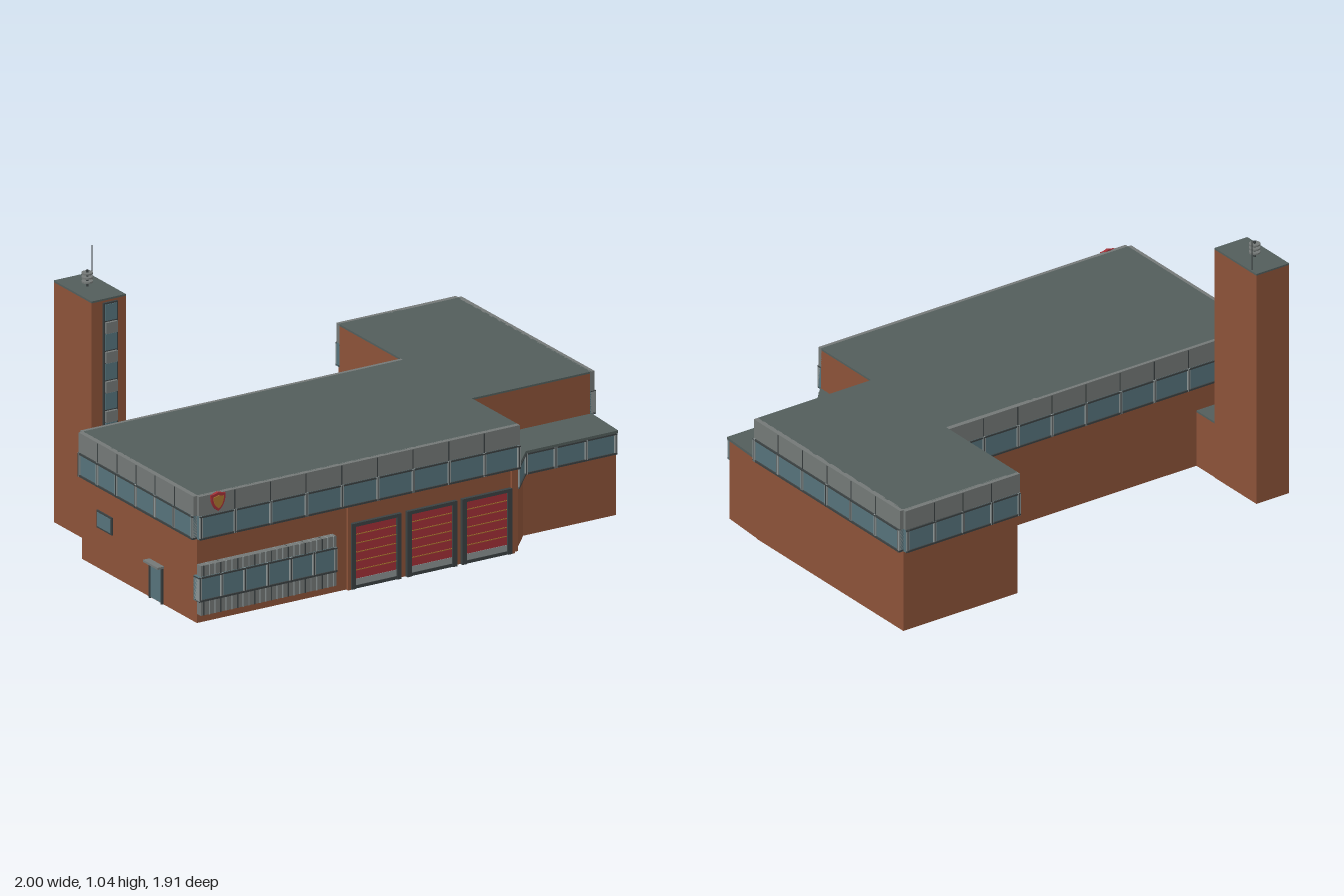
import * as THREE from 'three';

const mat = (color) => new THREE.MeshStandardMaterial({ color });
const BRICK = mat(0x8b5238), ROOF = mat(0x525d5b), PANEL = mat(0x737876), GLASS = mat(0x55727a);
const DARK = mat(0x3b4142), RED = mat(0xa02f36), GOLD = mat(0xa8742f), FRAME = mat(0x8a9292);

// Box given by its extents
function box(parent, name, m, x0, x1, y0, y1, z0, z1) {
  const mesh = new THREE.Mesh(new THREE.BoxGeometry(x1 - x0, y1 - y0, z1 - z0), m);
  mesh.position.set((x0 + x1) / 2, (y0 + y1) / 2, (z0 + z1) / 2);
  mesh.name = name;
  parent.add(mesh);
  return mesh;
}

// Upright prism over a plan of [x, z] corners
function prism(parent, name, m, plan, y0, y1) {
  const shape = new THREE.Shape(plan.map(([x, z]) => new THREE.Vector2(x, -z)));
  const geo = new THREE.ExtrudeGeometry(shape, { depth: y1 - y0, bevelEnabled: false });
  geo.rotateX(-Math.PI / 2).translate(0, y0, 0);
  const mesh = new THREE.Mesh(geo, m);
  mesh.name = name;
  parent.add(mesh);
}

// Group on a wall: x runs along the wall, z points outward
function wall(parent, name, x, z, angle) {
  const g = new THREE.Group();
  g.name = name;
  g.position.set(x, 0, z);
  g.rotation.y = angle;
  parent.add(g);
  return g;
}

// Row of framed panes
function windows(g, x0, x1, y0, y1, panes, out) {
  box(g, 'windowGlass', GLASS, x0, x1, y0, y1, -0.005, out - 0.005);
  box(g, 'windowSill', DARK, x0, x1, y0, y0 + 0.007, -0.005, out);
  box(g, 'windowHead', DARK, x0, x1, y1 - 0.006, y1, -0.005, out);
  const step = (x1 - x0) / panes;
  for (let i = 0; i <= panes; i++) {
    const c = Math.min(Math.max(x0 + i * step, x0 + 0.006), x1 - 0.006);
    box(g, 'mullion', FRAME, c - 0.006, c + 0.006, y0, y1, -0.005, out);
    box(g, 'mullionGap', DARK, c - 0.0015, c + 0.0015, y0, y1, 0, out + 0.001);
  }
}

// High window band with a panelled fascia above
function highBand(g, length, panes) {
  windows(g, 0, length, 0.32, 0.41, panes, 0.02);
  box(g, 'fascia', PANEL, 0, length, 0.41, 0.485, -0.005, 0.014);
  for (let i = 1; i < panes; i++) {
    const x = (i * length) / panes;
    box(g, 'fasciaSeam', DARK, x - 0.002, x + 0.002, 0.41, 0.483, 0, 0.0155);
  }
}

// Roller door with frame, slats and bottom rail
function engineDoor(g, x0, x1) {
  const d = new THREE.Group();
  d.name = 'engineDoor';
  g.add(d);
  box(d, 'doorLeaf', RED, x0, x1, 0.035, 0.238, -0.005, 0.006);
  box(d, 'bottomRail', FRAME, x0, x1, 0.012, 0.036, -0.005, 0.008);
  box(d, 'threshold', DARK, x0, x1, 0, 0.012, -0.005, 0.01);
  box(d, 'doorHead', DARK, x0 - 0.008, x1 + 0.008, 0.237, 0.25, -0.005, 0.014);
  for (const x of [x0, x1]) box(d, 'doorPost', DARK, x - 0.009, x + 0.009, 0, 0.25, -0.005, 0.014);
  for (let i = 1; i < 6; i++) {
    const y = 0.035 + i * 0.034;
    box(d, 'slatLine', GOLD, x0 + 0.01, x1 - 0.01, y - 0.0015, y + 0.0015, 0, 0.008);
  }
}

// Flat shield plaque
function shield(parent, name, m, x, y, s, z, depth) {
  const p = new THREE.Shape();
  p.moveTo(0, -s);
  p.quadraticCurveTo(s * 0.85, -s * 0.5, s * 0.85, s * 0.8);
  p.quadraticCurveTo(s * 0.4, s * 0.8, 0, s);
  p.quadraticCurveTo(-s * 0.4, s * 0.8, -s * 0.85, s * 0.8);
  p.quadraticCurveTo(-s * 0.85, -s * 0.5, 0, -s);
  const mesh = new THREE.Mesh(new THREE.ExtrudeGeometry(p, { depth, bevelEnabled: false }), m);
  mesh.position.set(x, y, z);
  mesh.name = name;
  parent.add(mesh);
}

function rod(parent, name, m, x, z, y0, y1, r) {
  const mesh = new THREE.Mesh(new THREE.CylinderGeometry(r, r, y1 - y0, 12), m);
  mesh.position.set(x, (y0 + y1) / 2, z);
  mesh.name = name;
  parent.add(mesh);
}

export function createModel() {
  const model = new THREE.Group();
  model.name = 'fireStation';
  const st = new THREE.Group();
  st.name = 'station';
  st.rotation.y = THREE.MathUtils.degToRad(24.5);
  model.add(st);

  // Hall and rear wing
  const L = -0.957, F = 0.572, B = -0.194, M = 0.398, R = 0.902, WB = -0.622, WF = 0.266;
  const plan = [[L, F], [M, F], [M, WF], [R, WF], [R, WB], [M, WB], [M, B], [L, B]];
  prism(st, 'brickWalls', BRICK, plan, 0, 0.478);
  prism(st, 'mainRoof', ROOF, plan, 0.478, 0.485);

  // Low annex with a canted corner
  const low = [[M, WF], [M, 0.562], [0.497, 0.452], [0.888, 0.452], [0.9, WF]];
  prism(st, 'annexWalls', BRICK, low, 0, 0.315);
  prism(st, 'annexRoof', ROOF,
    [[M, WF], [M, 0.576], [0.502, 0.462], [0.892, 0.462], [0.904, WF]], 0.315, 0.325);
  windows(wall(st, 'annexFrontWindows', 0.497, 0.452, 0), 0, 0.391, 0.235, 0.316, 3, 0.012);
  windows(wall(st, 'annexCantedWindow', M, 0.562, Math.atan2(0.11, 0.099)), 0, 0.148, 0.235, 0.316, 1, 0.012);

  // High window bands
  const front = wall(st, 'frontWall', L, F, 0);
  highBand(front, M - L, 9);
  const left = wall(st, 'sideWall', L, B, -Math.PI / 2);
  highBand(left, F - B, 6);
  highBand(wall(st, 'hallBackBand', M, B, Math.PI), M - L, 9);
  highBand(wall(st, 'wingSideBand', R, WF, Math.PI / 2), WF - WB, 6);
  highBand(wall(st, 'wingBackBand', R, WB, Math.PI), R - M, 4);

  // Engine doors and piers
  for (const x of [0.655, 0.89, 1.122]) engineDoor(front, x, x + 0.192);
  for (const x of [0.637, 1.33]) box(front, 'pier', BRICK, x - 0.006, x + 0.006, 0, 0.32, -0.005, 0.012);

  // Ground floor bay window with ribbed panels
  const bay = new THREE.Group();
  bay.name = 'bayWindow';
  front.add(bay);
  for (const [y0, y1] of [[0.035, 0.092], [0.18, 0.225]]) {
    box(bay, 'bayPanel', PANEL, 0, 0.572, y0, y1, -0.005, 0.026);
    for (let i = 0; i < 24; i++) {
      const x = 0.012 + i * 0.0238;
      box(bay, 'bayRib', i % 3 ? FRAME : DARK, x - 0.002, x + 0.002, y0, y1, 0, 0.029);
    }
  }
  windows(bay, -0.012, 0.572, 0.09, 0.184, 6, 0.034);

  // Shield plaque on the fascia
  shield(front, 'plaque', RED, 0.077, 0.455, 0.036, 0.01, 0.012);
  shield(front, 'plaqueInset', GOLD, 0.077, 0.455, 0.025, 0.02, 0.005);

  // Side door with canopy, small side window
  box(left, 'sideDoor', GLASS, 0.46, 0.535, 0.004, 0.135, -0.005, 0.005);
  for (const x of [0.455, 0.535]) box(left, 'sideDoorPost', DARK, x, x + 0.008, 0, 0.138, -0.005, 0.008);
  box(left, 'sideDoorCanopy', PANEL, 0.45, 0.548, 0.138, 0.146, -0.005, 0.028);
  box(left, 'sideWindowFrame', DARK, 0.105, 0.205, 0.155, 0.222, -0.005, 0.005);
  box(left, 'sideWindow', GLASS, 0.112, 0.198, 0.162, 0.215, -0.005, 0.007);

  // Tower and link to the hall
  const tower = new THREE.Group();
  tower.name = 'tower';
  st.add(tower);
  box(tower, 'towerShaft', BRICK, -0.844, -0.7, 0, 0.915, -0.561, -0.308);
  box(tower, 'towerRoof', ROOF, -0.844, -0.7, 0.915, 0.922, -0.561, -0.308);
  box(tower, 'linkWalls', BRICK, -0.815, -0.702, 0, 0.215, -0.31, B + 0.005);
  box(tower, 'linkRoof', ROOF, -0.815, -0.702, 0.215, 0.222, -0.31, B + 0.005);

  // Stair window strip
  box(tower, 'stripBacking', DARK, -0.799, -0.739, 0.25, 0.908, -0.31, -0.3);
  for (let i = 0; i < 11; i++) {
    const top = 0.902 - Math.floor(i / 2) * 0.113 - (i % 2) * 0.067;
    box(tower, i % 2 ? 'stripPanel' : 'stripPane', i % 2 ? PANEL : GLASS,
      -0.793, -0.745, top - (i % 2 ? 0.042 : 0.062), top, -0.31, i % 2 ? -0.289 : -0.297);
  }

  // Siren discs and antenna
  rod(tower, 'sirenPole', DARK, -0.775, -0.447, 0.92, 0.985, 0.005);
  for (const y of [0.938, 0.954, 0.97]) rod(tower, 'sirenDisc', PANEL, -0.775, -0.447, y, y + 0.006, 0.021);
  rod(tower, 'antenna', DARK, -0.706, -0.525, 0.9, 1.04, 0.0015);

  return model;
}
